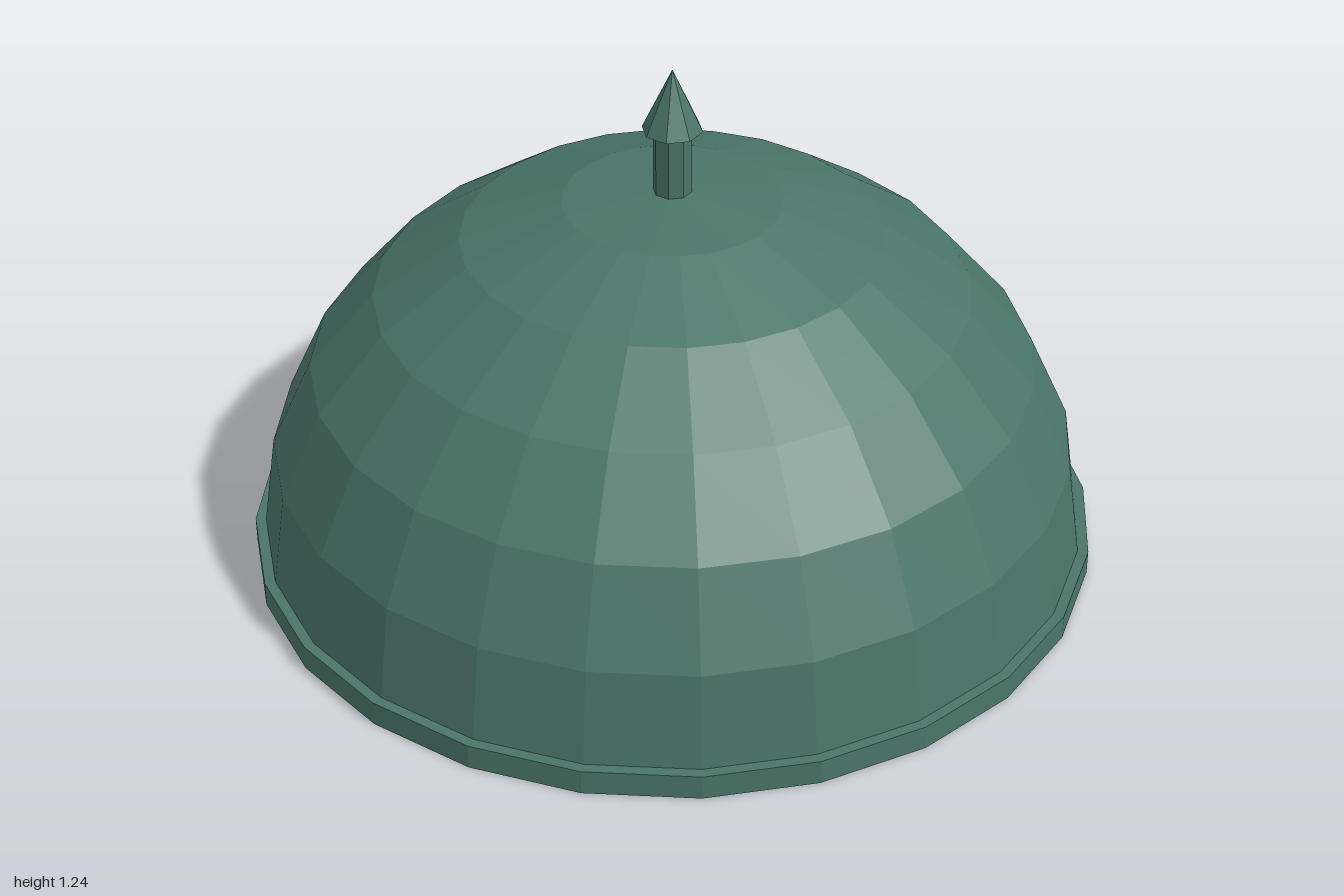
import * as THREE from 'three';

export function createModel() {
  const group = new THREE.Group();
  const material = new THREE.MeshStandardMaterial({ color: 0x4a7568, flatShading: true });

  const add = (name, geometry, y) => {
    const mesh = new THREE.Mesh(geometry, material);
    mesh.name = name;
    mesh.position.y = y;
    group.add(mesh);
    return mesh;
  };

  // Flat base rim
  add('baseRim', new THREE.CylinderGeometry(1, 1, 0.06, 24), 0.03);

  // Slightly squashed faceted half sphere
  const dome = add('dome', new THREE.SphereGeometry(0.975, 24, 6, 0, Math.PI * 2, 0, Math.PI / 2), 0.06);
  dome.scale.y = 0.9;

  // Finial: octagonal post with a pointed cap
  add('finialPost', new THREE.CylinderGeometry(0.045, 0.045, 0.17, 8), 1.005);
  add('finialTip', new THREE.ConeGeometry(0.07, 0.15, 8), 1.163);

  return group;
}
